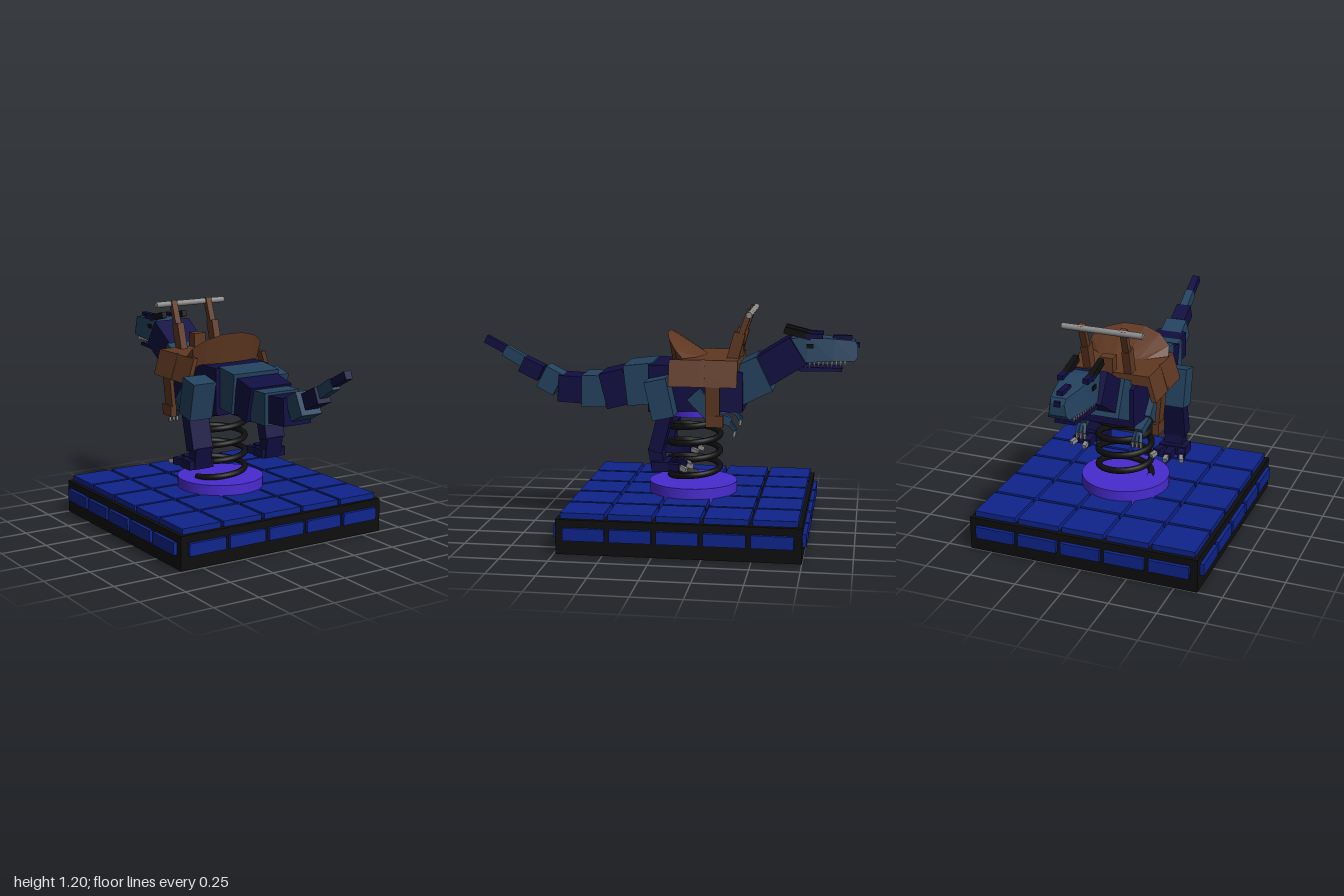
import * as THREE from 'three';

const mat = (name, color, side = THREE.FrontSide) => {
  const m = new THREE.MeshStandardMaterial({ color, side });
  m.name = name;
  return m;
};

export function createModel() {
  const root = new THREE.Group();
  root.name = 'dinosaurSpringRider';
  const navy = mat('navy', 0x110e42), steel = mat('steelBlue', 0x24425f);
  const tile = mat('tileBlue', 0x0f248c), black = mat('black', 0x0e0e0e);
  const purple = mat('purple', 0x492bd0), brown = mat('brown', 0x5f3822, THREE.DoubleSide);
  const grey = mat('grey', 0x8c8c8c), white = mat('toothWhite', 0xdcdcd4);
  const V = (x, y, z) => new THREE.Vector3(x, y, z);

  const add = (name, geo, material, x = 0, y = 0, z = 0) => {
    const m = new THREE.Mesh(geo, material);
    m.name = name;
    m.position.set(x, y, z);
    root.add(m);
    return m;
  };
  const box = (name, material, w, h, d, x, y, z) => add(name, new THREE.BoxGeometry(w, h, d), material, x, y, z);
  // Box of width w and height h running from point a to point b
  const beam = (name, material, a, b, w, h) => {
    const m = box(name, material, w, h, a.distanceTo(b), 0, 0, 0);
    m.position.copy(a).add(b).multiplyScalar(0.5);
    m.lookAt(b);
    return m;
  };
  // Flat-faced loft through rings of points, optionally closed round and capped
  const loft = (rings, closed = true) => {
    const p = [], n = rings[0].length;
    const tri = (a, b, c) => p.push(...a, ...b, ...c);
    for (let i = 0; i + 1 < rings.length; i++) {
      for (let j = 0; j < (closed ? n : n - 1); j++) {
        const k = (j + 1) % n, A = rings[i], B = rings[i + 1];
        tri(A[j], A[k], B[k]);
        tri(A[j], B[k], B[j]);
      }
    }
    if (closed) {
      const A = rings[0], B = rings[rings.length - 1];
      for (let j = 1; j + 1 < n; j++) {
        tri(A[0], A[j + 1], A[j]);
        tri(B[0], B[j], B[j + 1]);
      }
    }
    const g = new THREE.BufferGeometry();
    g.setAttribute('position', new THREE.Float32BufferAttribute(p, 3));
    g.computeVertexNormals();
    return g;
  };
  // Rectangular section for lofts running toward -z
  const ring = (z, hw, y0, y1, topHw = hw) => [[-hw, y0, z], [-topHw, y1, z], [topHw, y1, z], [hw, y0, z]];

  // Tiled base
  const cz = -0.13;
  box('basePlate', black, 1.24, 0.18, 1.24, 0, 0.09, cz);
  for (let i = -2; i <= 2; i++) {
    for (let j = -2; j <= 2; j++) box('topTile', tile, 0.225, 0.03, 0.225, i * 0.243, 0.195, cz + j * 0.243);
    for (const s of [-1, 1]) {
      box('sideTile', tile, 0.212, 0.065, 0.02, i * 0.237, 0.108, cz + s * 0.63);
      box('sideTile', tile, 0.02, 0.065, 0.212, s * 0.63, 0.108, cz + i * 0.237);
    }
  }

  // Spring between two round mounts
  add('lowerMount', new THREE.CylinderGeometry(0.235, 0.235, 0.085, 32), purple, 0, 0.223, cz);
  add('upperMount', new THREE.CylinderGeometry(0.16, 0.16, 0.04, 32), purple, 0, 0.65, cz - 0.01);
  const coil = [];
  for (let i = 0; i <= 102; i++) {
    const a = -Math.PI / 2 + (i / 102) * 4.25 * Math.PI * 2;
    coil.push(V(0.142 * Math.sin(a), 0.272 + 0.375 * i / 102, cz - 0.01 + 0.132 * Math.cos(a)));
  }
  add('spring', new THREE.TubeGeometry(new THREE.CatmullRomCurve3(coil), 260, 0.017, 10), black);

  // Body: z, y at the start, z, y at the end, width, height, from tail tip to hips
  const segments = [
    [1.0, 1.005, 0.885, 0.945, 0.04, 0.042],
    [0.895, 0.945, 0.785, 0.88, 0.045, 0.06],
    [0.8, 0.875, 0.695, 0.825, 0.08, 0.085],
    [0.685, 0.815, 0.595, 0.768, 0.12, 0.125],
    [0.59, 0.755, 0.455, 0.748, 0.165, 0.142],
    [0.457, 0.748, 0.327, 0.748, 0.21, 0.168],
    [0.338, 0.75, 0.21, 0.782, 0.25, 0.19],
    [0.215, 0.787, 0.06, 0.805, 0.28, 0.215],
  ];
  segments.forEach(([z0, y0, z1, y1, w, h], i) =>
    beam('tailSegment', i % 2 ? steel : navy, V(0, y0, z0), V(0, y1, z1), w, h));
  add('torso', loft([ring(0.09, 0.163, 0.655, 0.905), ring(-0.28, 0.163, 0.665, 0.905), ring(-0.405, 0.15, 0.665, 0.87)]), navy);
  beam('neckBase', steel, V(0, 0.775, -0.33), V(0, 0.865, -0.515), 0.26, 0.2);
  beam('neck', navy, V(0, 0.855, -0.48), V(0, 0.985, -0.685), 0.22, 0.165);

  // Head and jaws
  add('upperJaw', loft([
    ring(-0.62, 0.09, 0.92, 1.04, 0.075), ring(-0.73, 0.09, 0.925, 1.06, 0.075),
    ring(-0.87, 0.075, 0.93, 1.045, 0.06), ring(-0.975, 0.055, 0.93, 1.035, 0.04), ring(-0.99, 0.045, 0.95, 1.01, 0.035),
  ]), steel);
  add('lowerJaw', loft([ring(-0.62, 0.08, 0.9, 0.94), ring(-0.7, 0.075, 0.875, 0.898), ring(-0.91, 0.052, 0.875, 0.892)]), navy);
  box('noseRidge', navy, 0.03, 0.02, 0.1, 0, 1.05, -0.91);
  box('noseTip', navy, 0.03, 0.025, 0.025, 0, 1.01, -0.987);
  for (const s of [-1, 1]) {
    beam('browHorn', black, V(s * 0.065, 1.09, -0.61), V(s * 0.065, 1.055, -0.75), 0.028, 0.035);
    box('browSpur', navy, 0.03, 0.025, 0.09, s * 0.065, 1.06, -0.765);
    box('eye', black, 0.008, 0.022, 0.035, s * 0.084, 1.01, -0.745);
    for (let i = 0; i < 11; i++) {
      const t = add('tooth', new THREE.ConeGeometry(0.009, 0.042, 4), white, s * (0.077 - i * 0.0023), 0.914, -0.7 - i * 0.0225);
      t.rotation.x = Math.PI;
    }
  }

  // Legs, feet and arms on both sides
  for (const s of [-1, 1]) {
    beam('thigh', steel, V(s * 0.23, 0.845, 0.034), V(s * 0.23, 0.646, -0.01), 0.135, 0.115);
    beam('shin', navy, V(s * 0.23, 0.66, -0.015), V(s * 0.23, 0.47, 0.034), 0.12, 0.072);
    beam('ankle', navy, V(s * 0.225, 0.49, 0.038), V(s * 0.225, 0.375, 0.018), 0.1, 0.07);
    box('foot', navy, 0.15, 0.05, 0.09, s * 0.23, 0.395, 0.005);
    for (const k of [-1, 0, 1]) {
      const end = V(s * 0.23 + k * 0.07, 0.395, k ? -0.1 : -0.125);
      beam('toe', navy, V(s * 0.23 + k * 0.045, 0.395, -0.01), end, 0.04, 0.038);
      beam('toeClaw', grey, end, V(end.x + k * 0.015, 0.385, end.z - 0.035), 0.022, 0.024);
    }
    beam('upperArm', steel, V(s * 0.165, 0.76, -0.15), V(s * 0.165, 0.655, -0.25), 0.06, 0.085);
    beam('forearm', steel, V(s * 0.165, 0.665, -0.22), V(s * 0.155, 0.615, -0.345), 0.045, 0.045);
    for (const k of [-1, 0, 1]) {
      const end = V(s * 0.155 + k * 0.022, 0.57, -0.37);
      beam('finger', steel, V(s * 0.155 + k * 0.012, 0.62, -0.335), end, 0.016, 0.018);
      beam('fingerClaw', grey, end, V(end.x, 0.54, -0.365), 0.012, 0.014);
    }
  }

  // Saddle seat with a raised, faceted back
  add('saddleSeat', loft([ring(-0.08, 0.23, 0.89, 0.945, 0.21), ring(-0.385, 0.23, 0.89, 0.945, 0.21)]), brown);
  const half = [[0.225, 0.95, -0.1], [0.215, 0.995, -0.06], [0.15, 1.04, -0.02], [0.06, 1.065, 0]];
  const rim = [...half.map(([x, y, z]) => [-x, y, z]), ...half.slice().reverse()];
  const lower = rim.map(([x, , z]) => [x * 0.92, 0.9, z * 0.7 - 0.03]);
  const inner = rim.map(([x]) => [x * 0.6, 0.948, -0.17 - 0.04 * (1 - Math.abs(x) / 0.225)]);
  add('saddleBack', loft([lower, rim, inner], false), brown);
  box('pommel', brown, 0.07, 0.08, 0.06, 0, 0.98, -0.365);

  // Saddle flaps, hanging straps and handlebar posts
  for (const s of [-1, 1]) {
    beam('saddleFlap', brown, V(s * 0.215, 0.945, -0.207), V(s * 0.258, 0.81, -0.2071), 0.02, 0.02).visible = true;
    const flap = loft([[-0.03, -0.385].flatMap(z => z === -0.03
      ? [[s * 0.2, 0.945, z], [s * 0.225, 0.945, z]] : [[s * 0.225, 0.945, z], [s * 0.2, 0.945, z]]),
    [-0.03, -0.385].flatMap(z => z === -0.03
      ? [[s * 0.24, 0.81, z], [s * 0.265, 0.81, z]] : [[s * 0.265, 0.81, z], [s * 0.24, 0.81, z]])]);
    add('saddleFlap', flap, brown);
    beam('strap', brown, V(s * 0.25, 0.82, -0.255), V(s * 0.235, 0.66, -0.262), 0.025, 0.07).rotation.set(0, 0, s * -0.09);
    const strap = root.children[root.children.length - 1];
    strap.geometry = new THREE.BoxGeometry(0.022, 0.17, 0.075);
    box('stirrup', brown, 0.035, 0.06, 0.09, s * 0.235, 0.63, -0.27);
    beam('postFoot', brown, V(s * 0.11, 0.93, -0.345), V(s * 0.11, 1.075, -0.385), 0.04, 0.06);
    beam('handlePost', brown, V(s * 0.11, 1.05, -0.385), V(s * 0.11, 1.195, -0.437), 0.034, 0.03);
  }
  const bar = add('handlebar', new THREE.CylinderGeometry(0.016, 0.016, 0.43, 16), grey, 0, 1.178, -0.44);
  bar.rotation.z = Math.PI / 2;

  return root;
}
